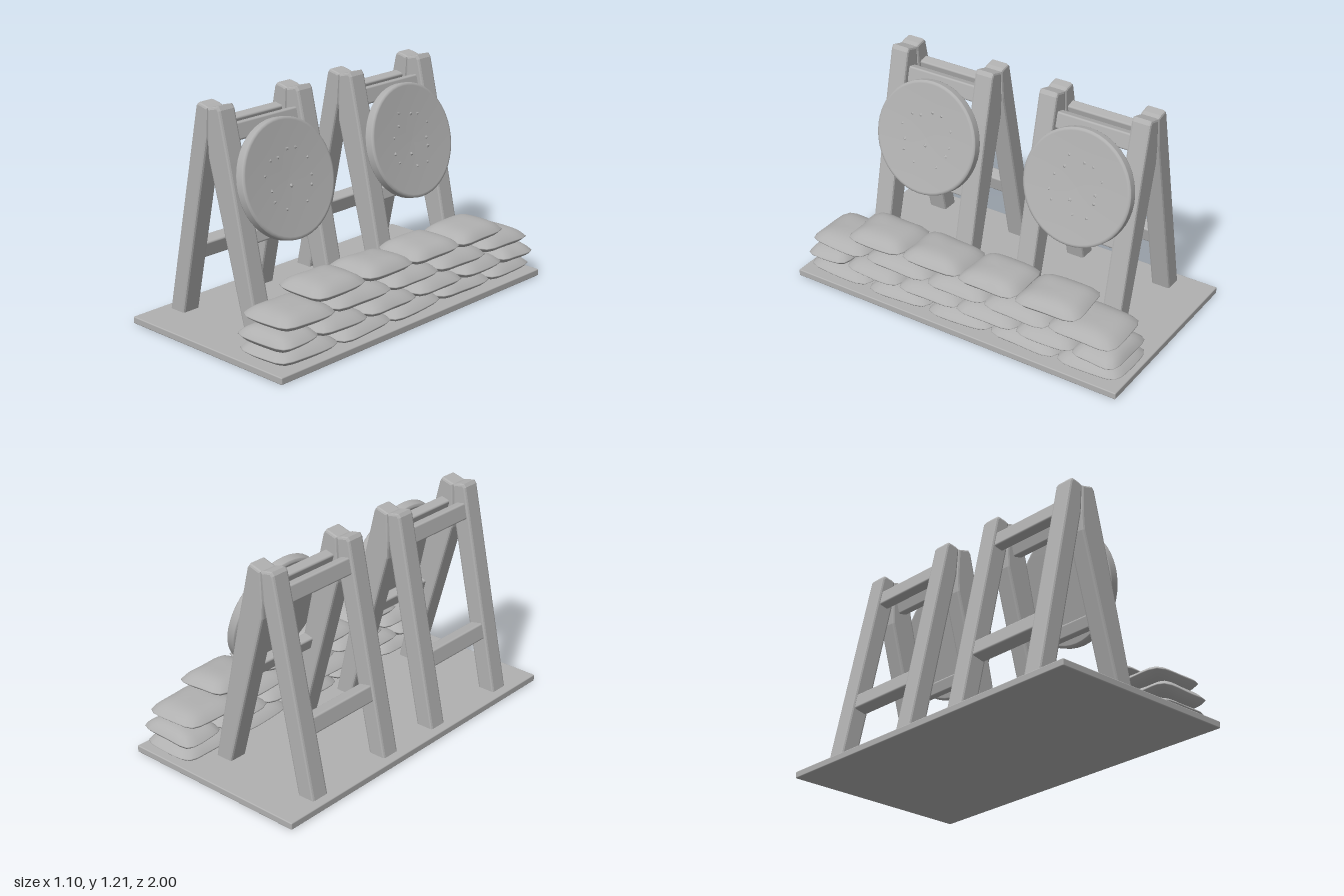
import * as THREE from 'three';
import { mergeVertices } from 'three/addons/utils/BufferGeometryUtils.js';
import { RoundedBoxGeometry } from 'three/addons/geometries/RoundedBoxGeometry.js';

const grey = new THREE.MeshStandardMaterial({ color: 0xb0b0b0 });
grey.name = 'plain grey';

let seed = 7;
const rand = () => (seed = (seed * 16807) % 2147483647) / 2147483647;
const jitter = (a) => (rand() - 0.5) * 2 * a;

function add(parent, name, geometry, x = 0, y = 0, z = 0) {
  const m = new THREE.Mesh(geometry, grey);
  m.name = name;
  m.position.set(x, y, z);
  parent.add(m);
  return m;
}

// Hewn timber: side outline extruded along z with chamfered edges
function timber(points, width) {
  const b = 0.012;
  const g = new THREE.ExtrudeGeometry(new THREE.Shape(points.map(p => new THREE.Vector2(...p))), {
    depth: width - 2 * b, bevelEnabled: true, bevelThickness: b, bevelSize: b, bevelOffset: -b, bevelSegments: 2,
  });
  return g.translate(0, 0, -width / 2 + b);
}

// Pillow: a sphere squared off in plan, with a pinched seam and flattened faces
function pillow(w, h, d) {
  let g = new THREE.SphereGeometry(1, 32, 18);
  g.deleteAttribute('uv');
  g.deleteAttribute('normal');
  g = mergeVertices(g, 1e-4);
  const p = g.attributes.position;
  const phase = rand() * 6;
  for (let i = 0; i < p.count; i++) {
    const x = p.getX(i), y = p.getY(i), z = p.getZ(i);
    const r = Math.hypot(x, z), a = Math.atan2(z, x);
    const c = Math.cos(a), s = Math.sin(a);
    const square = Math.pow(Math.pow(Math.abs(c), 6) + Math.pow(Math.abs(s), 6), -1 / 6);
    const k = r * square * (1 + 0.02 * Math.sin(3 * a + phase));
    const height = Math.sign(y) * (1 - Math.pow(r, 4));
    const sag = 0.07 * Math.sin(2.5 * x + phase) * Math.cos(2 * z + phase);
    p.setXYZ(i, k * c * w / 2, (height + sag) * h / 2, k * s * d / 2);
  }
  g.computeVertexNormals();
  return g;
}

// Round straw target with a slightly dished face and small straw tufts
function makeTarget() {
  const target = new THREE.Group();
  target.name = 'target';
  const profile = [[0, -0.03], [0.298, -0.03], [0.303, -0.029], [0.312, -0.023], [0.313, -0.019], [0.313, 0.019],
    [0.312, 0.024], [0.304, 0.03], [0.296, 0.03], [0.24, 0.027], [0.12, 0.023], [0, 0.021]];
  add(target, 'strawDisc', new THREE.LatheGeometry(profile.map(p => new THREE.Vector2(...p)), 48));
  for (let i = 0; i < 13; i++) {
    const a = i * 2.4, r = 0.04 + 0.13 * Math.sqrt(rand());
    const tuft = add(target, 'strawTuft', new THREE.ConeGeometry(0.013, 0.012, 5),
      r * Math.cos(a), 0.026, r * Math.sin(a));
    tuft.rotation.set(jitter(0.4), jitter(2), jitter(0.4));
  }
  // Lean the disc back against the front legs
  target.rotation.z = -Math.PI / 2 + 0.262;
  target.position.set(0.047, 0.798, 0);
  return target;
}

// One A-frame stand
function makeStand(z) {
  const stand = new THREE.Group();
  stand.name = 'stand';
  stand.position.z = z;
  const backLeg = timber([[-0.505, 0.01], [-0.402, 0.01], [-0.183, 1.02], [-0.17, 1.185], [-0.195, 1.194],
    [-0.24, 1.202], [-0.254, 1.185]], 0.108);
  const frontLeg = timber([[0.08, 0.01], [0.183, 0.01], [-0.022, 0.93], [-0.083, 1.185], [-0.098, 1.206],
    [-0.172, 1.185], [-0.178, 1.03], [-0.173, 0.93]], 0.108);
  for (const s of [-1, 1]) {
    add(stand, 'backLeg', backLeg, 0, 0, s * 0.27);
    add(stand, 'frontLeg', frontLeg, 0, 0, s * 0.27);
  }
  // Rails: [name, x, y, thickness, height, lean]
  const rails = [
    ['lowerBackRail', -0.372, 0.38, 0.08, 0.09, -0.21],
    ['lowerFrontRail', 0.03, 0.54, 0.06, 0.07, 0.25],
    ['upperBackRail', -0.235, 1.05, 0.06, 0.09, -0.21],
    ['upperFrontRail', -0.115, 1.05, 0.06, 0.09, 0.25],
  ];
  for (const [name, x, y, t, h, lean] of rails) {
    add(stand, name, new RoundedBoxGeometry(t, h, 0.5, 2, 0.01), x, y, 0).rotation.z = lean;
  }
  stand.add(makeTarget());
  return stand;
}

// Sandbag wall: rows of [height, width, x, z of the joints between bags]
function makeWall() {
  const wall = new THREE.Group();
  wall.name = 'sandbagWall';
  const rows = [
    [0.076, 0.345, 0.357, [-0.98, -0.62, -0.22, 0.17, 0.55, 0.955]],
    [0.153, 0.352, 0.357, [-0.975, -0.72, -0.38, -0.02, 0.35, 0.7, 0.96]],
    [0.246, 0.345, 0.357, [-0.945, -0.57, -0.19, 0.17, 0.57, 0.93]],
    [0.335, 0.315, 0.358, [-0.73, -0.37, -0.02, 0.34, 0.695]],
  ];
  for (const [y, w, x, joints] of rows) {
    for (let i = 1; i < joints.length; i++) {
      const d = joints[i] - joints[i - 1];
      const bag = add(wall, 'sandbag', pillow(w, 0.1, d + 0.01),
        x + jitter(0.006), y + jitter(0.003), (joints[i] + joints[i - 1]) / 2);
      bag.rotation.set(jitter(0.03), jitter(0.03), jitter(0.02));
    }
  }
  return wall;
}

export function createModel() {
  const model = new THREE.Group();
  model.name = 'targetRange';
  add(model, 'basePlate', new RoundedBoxGeometry(1.1, 0.038, 2, 2, 0.006), 0, 0.019, 0);
  model.add(makeStand(0.465), makeStand(-0.465), makeWall());
  return model;
}
